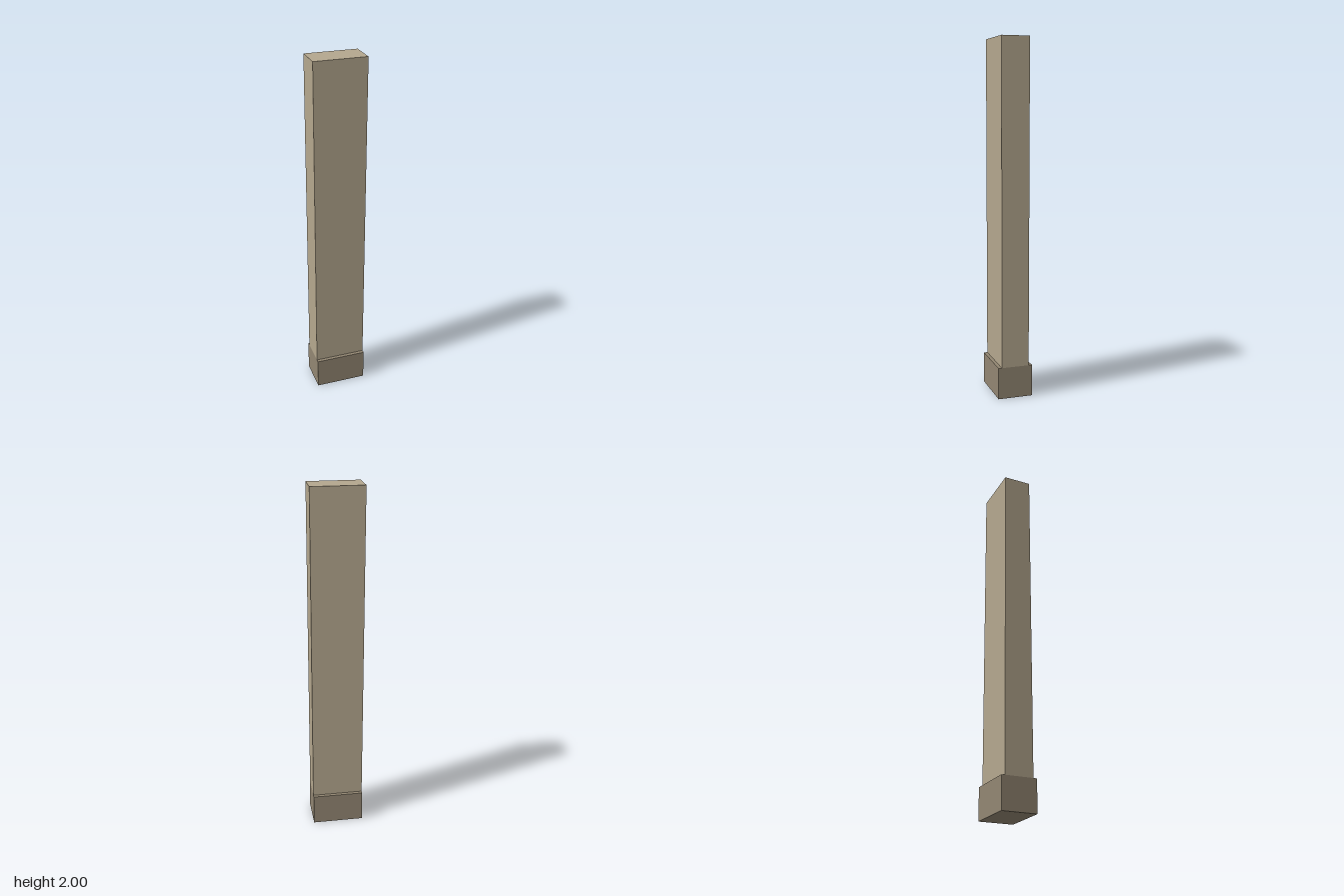
import * as THREE from 'three';

const WIDTH = 0.292;
const BASE_HEIGHT = 0.18;
const TOTAL_HEIGHT = 2;

// Box standing on the given height, centred on x and z
function block(name, bottom, top, depth, color) {
  const mesh = new THREE.Mesh(
    new THREE.BoxGeometry(WIDTH, top - bottom, depth),
    new THREE.MeshStandardMaterial({ color })
  );
  mesh.position.y = (bottom + top) / 2;
  mesh.name = name;
  return mesh;
}

export function createModel() {
  const model = new THREE.Group();
  model.name = 'pilaster';

  // Plinth, deeper than the shaft but flush with its sides
  model.add(block('plinth', 0, BASE_HEIGHT, 0.198, 0x928672));

  // Plain shaft rising from the plinth
  model.add(block('shaft', BASE_HEIGHT, TOTAL_HEIGHT, 0.158, 0xb4a78e));

  return model;
}
